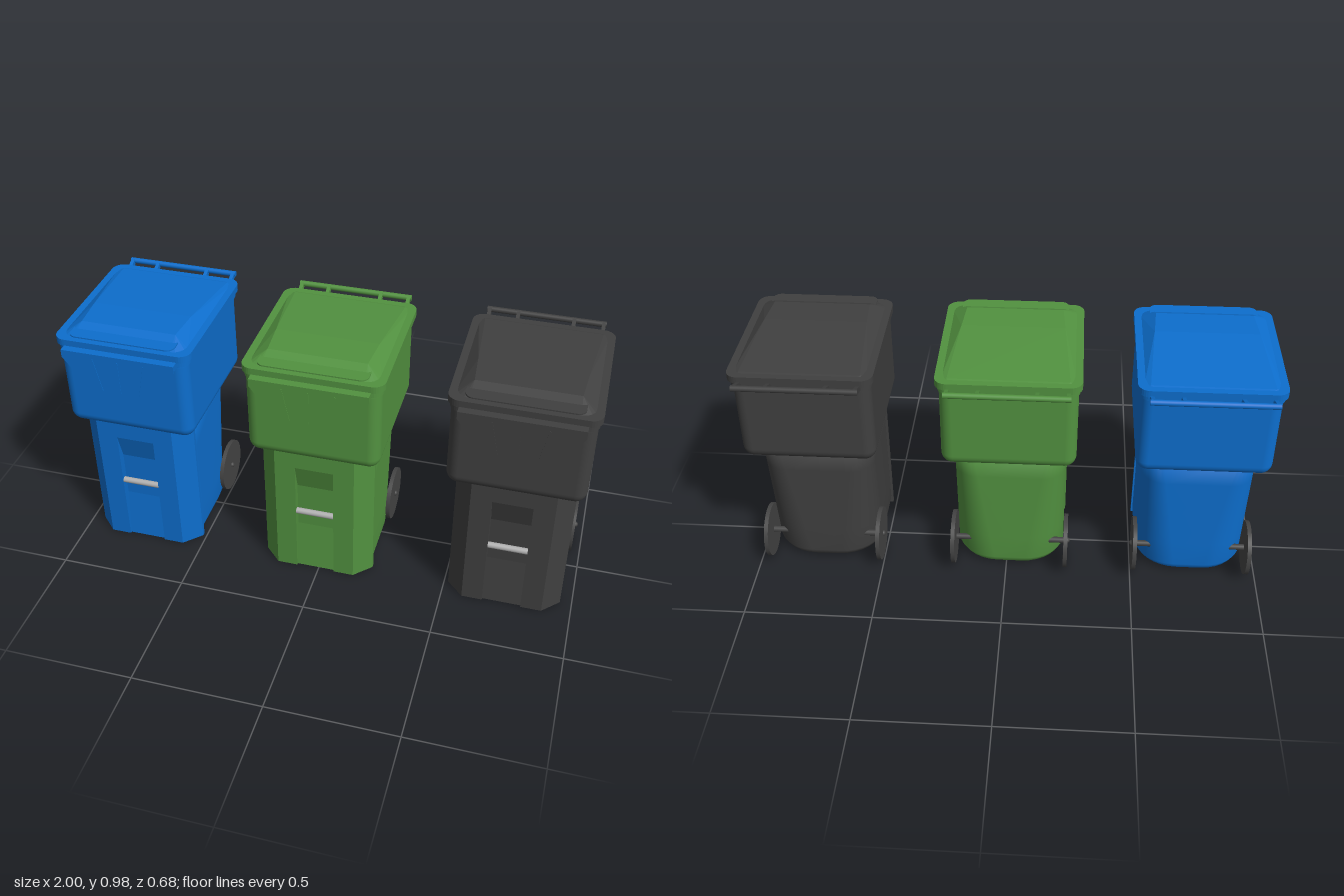
import * as THREE from 'three';
import { RoundedBoxGeometry } from 'three/addons/geometries/RoundedBoxGeometry.js';
import { ConvexGeometry } from 'three/addons/geometries/ConvexGeometry.js';

const paint = (color) => new THREE.MeshStandardMaterial({ color, side: THREE.DoubleSide });

function add(parent, name, geometry, material, x = 0, y = 0, z = 0) {
  const mesh = new THREE.Mesh(geometry, material);
  mesh.name = name;
  mesh.position.set(x, y, z);
  parent.add(mesh);
  return mesh;
}

// box given by its half width and its y and z ranges
function slab(parent, name, material, half, y0, y1, z0, z1, x = 0) {
  return add(parent, name, new THREE.BoxGeometry(half * 2, y1 - y0, z1 - z0),
    material, x, (y0 + y1) / 2, (z0 + z1) / 2);
}

function bar(parent, name, material, radius, length, x, y, z) {
  const mesh = add(parent, name, new THREE.CylinderGeometry(radius, radius, length, 20), material, x, y, z);
  mesh.rotation.z = Math.PI / 2;
  return mesh;
}

// rounded rectangle in x and z, with separate front and back corner radii
function outline(half, z0, z1, rFront, rBack, n = 8) {
  const corners = [
    [half - rFront, z1 - rFront, rFront], [-half + rFront, z1 - rFront, rFront],
    [-half + rBack, z0 + rBack, rBack], [half - rBack, z0 + rBack, rBack],
  ];
  const points = [];
  corners.forEach(([cx, cz, r], c) => {
    for (let i = 0; i <= n; i++) {
      const a = (c + i / n) * Math.PI / 2;
      points.push([cx + r * Math.cos(a), cz + r * Math.sin(a)]);
    }
  });
  return points;
}

// skin over stacked outlines, closed at the bottom and the top
function loft(rings) {
  const position = [], index = [], n = rings[0].points.length;
  rings.forEach(({ y, points }) => points.forEach(([x, z]) => position.push(x, y, z)));
  for (let r = 0; r < rings.length - 1; r++) {
    for (let i = 0; i < n; i++) {
      const a = r * n + i, b = r * n + (i + 1) % n;
      index.push(a, a + n, b, b, a + n, b + n);
    }
  }
  const last = (rings.length - 1) * n;
  for (let i = 1; i < n - 1; i++) {
    index.push(0, i, i + 1, last, last + i + 1, last + i);
  }
  const geometry = new THREE.BufferGeometry();
  geometry.setAttribute('position', new THREE.Float32BufferAttribute(position, 3));
  geometry.setIndex(index);
  geometry.computeVertexNormals();
  return geometry;
}

// flat outline extruded upwards; points are [x, z]
function prism(points, y0, y1) {
  const shape = new THREE.Shape(points.map(([x, z]) => new THREE.Vector2(x, -z)));
  const geometry = new THREE.ExtrudeGeometry(shape, { depth: y1 - y0, bevelEnabled: false });
  return geometry.rotateX(-Math.PI / 2).translate(0, y0, 0);
}

function createBin(name, color) {
  const bin = new THREE.Group();
  bin.name = name;
  const plastic = paint(color), wheelGrey = paint(0x444444), metal = paint(0xb0b0b0);

  // lower body: back corners tighten towards the top, base edge is rounded
  const rows = [[0, 0.045], [0.006, 0.022], [0.018, 0.008], [0.04, 0], [0.15, 0], [0.3, 0], [0.45, 0], [0.58, 0]];
  add(bin, 'lowerBody', loft(rows.map(([y, inset]) => ({
    y,
    points: outline(0.215 - inset, -0.17 + inset, 0.25 - inset, 0.07, 0.16 - 0.15 * y),
  }))), plastic);

  // front panel with chamfered sides and a central channel
  const side = [[0.075, 0.2], [0.075, 0.28], [0.155, 0.28], [0.22, 0.215], [0.22, 0.2]];
  [-1, 1].forEach((s) => add(bin, 'frontPanel', prism(side.map(([x, z]) => [x * s, z]), 0, 0.57), plastic));

  // channel back: leans in up to the grip, then slopes out to the panel
  const channel = new THREE.Shape([[0.2, 0], [0.272, 0], [0.235, 0.34], [0.28, 0.5], [0.28, 0.57], [0.2, 0.57]]
    .map(([z, y]) => new THREE.Vector2(-z, y)));
  add(bin, 'gripRecess', new THREE.ExtrudeGeometry(channel, { depth: 0.15, bevelEnabled: false })
    .rotateY(Math.PI / 2).translate(-0.075, 0, 0), plastic);
  bar(bin, 'gripBar', metal, 0.012, 0.15, 0, 0.28, 0.267);

  // upper body
  add(bin, 'upperBody', new RoundedBoxGeometry(0.505, 0.37, 0.562, 6, 0.045), plastic, 0, 0.75, 0.024);

  // lid rim in two steps
  const rim = (label, half, z0, z1, y0, y1) => add(bin, label,
    prism(outline(half, z0, z1, 0.045, 0.045), y0, y1), plastic);
  rim('rimLower', 0.257, -0.265, 0.305, 0.895, 0.922);
  rim('lidEdge', 0.265, -0.275, 0.31, 0.918, 0.945);

  // domed lid, highest near the front
  const dome = outline(0.24, -0.255, 0.29, 0.05, 0.04, 4).map(([x, z]) => new THREE.Vector3(x, 0.943, z));
  [-1, 1].forEach((s) => dome.push(
    new THREE.Vector3(s * 0.185, 0.975, 0.215),
    new THREE.Vector3(s * 0.195, 0.975, 0.08),
    new THREE.Vector3(s * 0.22, 0.947, -0.24)));
  add(bin, 'lidDome', new ConvexGeometry(dome), plastic);
  add(bin, 'lidLip', prism(outline(0.205, 0.2, 0.302, 0.03, 0.01), 0.956, 0.961), plastic);

  // front flap hanging from the lid, with fanned ribs
  slab(bin, 'flapHinge', plastic, 0.22, 0.896, 0.92, 0.295, 0.338);
  const flap = new THREE.Shape([[-0.22, 0.92], [-0.22, 0.89], [-0.122, 0.76], [0.122, 0.76], [0.22, 0.89], [0.22, 0.92]]
    .map(([x, y]) => new THREE.Vector2(x, y)));
  add(bin, 'frontFlap', new THREE.ExtrudeGeometry(flap, { depth: 0.005, bevelEnabled: false }), plastic, 0, 0, 0.335);
  [-1, 0, 1].forEach((s) => {
    const rib = slab(bin, 'flapRib', plastic, 0.002, 0.764, 0.9, 0.339, 0.342, s * 0.085);
    rib.rotation.z = -s * 0.2;
  });

  // back handle
  bar(bin, 'backHandle', plastic, 0.011, 0.45, 0, 0.936, -0.331);
  [-0.215, -0.105, 0.105, 0.215].forEach((x) => {
    const arm = add(bin, 'handleArm', new THREE.BoxGeometry(0.014, 0.02, 0.085), plastic, x, 0.922, -0.296);
    arm.rotation.x = 0.4;
  });

  // axle and wheels
  bar(bin, 'axle', wheelGrey, 0.012, 0.46, 0, 0.11, -0.13);
  [-1, 1].forEach((s) => {
    const wheel = add(bin, 'wheel', new THREE.CylinderGeometry(0.108, 0.108, 0.016, 48), wheelGrey, s * 0.224, 0.11, -0.13);
    wheel.rotation.z = Math.PI / 2;
    add(bin, 'hubCap', new THREE.SphereGeometry(0.012, 16, 10), wheelGrey, s * 0.23, 0.11, -0.13);
  });
  return bin;
}

export function createModel() {
  const model = new THREE.Group();
  model.name = 'wheeledBins';
  [['blueBin', 0x0d6ecd, -0.735], ['greenBin', 0x529140, -0.013], ['blackBin', 0x404040, 0.735]]
    .forEach(([name, color, x]) => {
      const bin = createBin(name, color);
      bin.position.x = x;
      model.add(bin);
    });
  return model;
}
